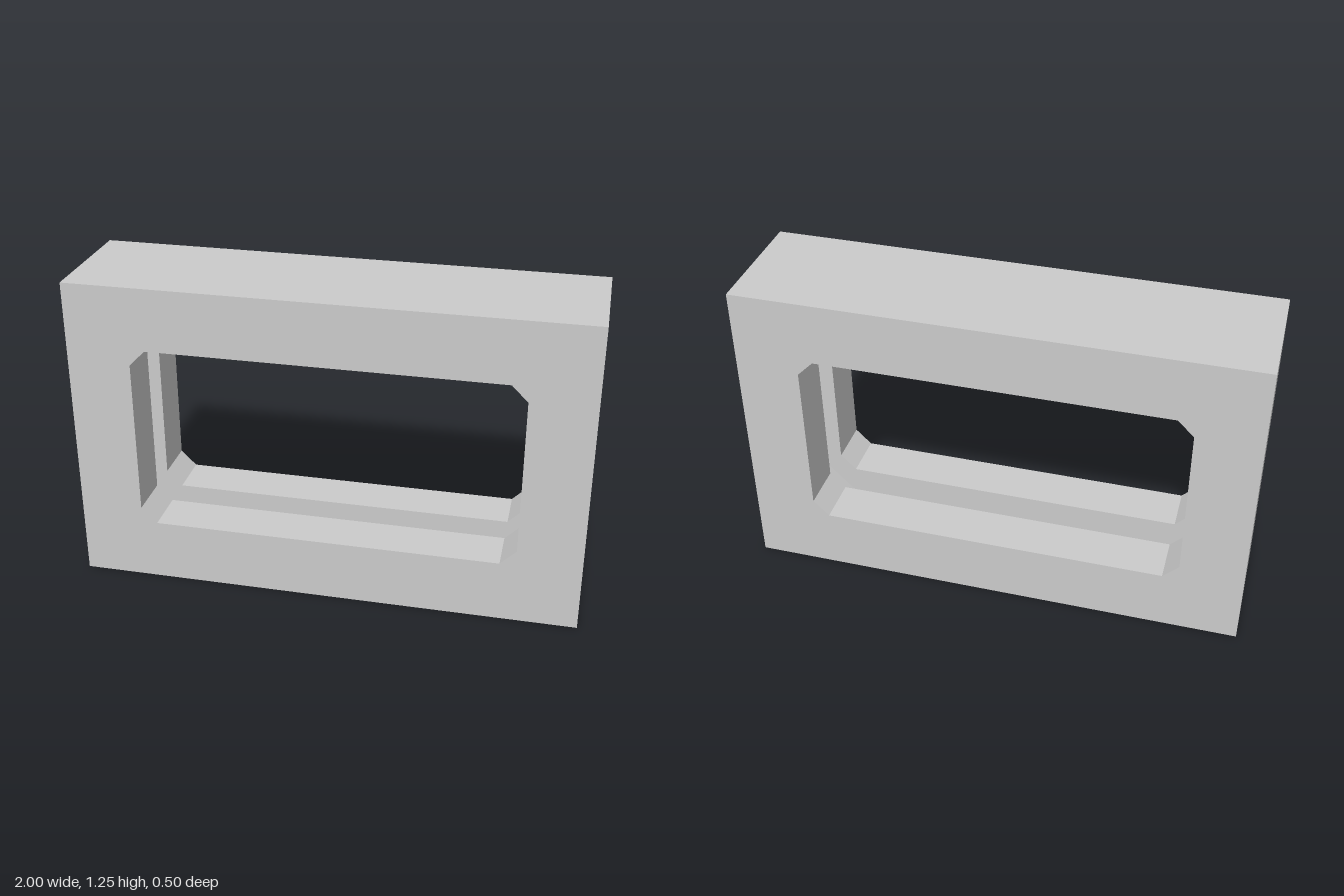
import * as THREE from 'three';
import { mergeGeometries } from 'three/addons/utils/BufferGeometryUtils.js';

const CY = 0.625, HALF_DEPTH = 0.25, GROOVE = 0.0625;

// Counter-clockwise rectangle with corners cut by c
function cutRect(hw, hh, c) {
  const pts = [
    [hw, -hh + c], [hw, hh - c], [hw - c, hh], [-hw + c, hh],
    [-hw, hh - c], [-hw, -hh + c], [-hw + c, -hh], [hw - c, -hh],
  ];
  return pts.map(([x, y]) => new THREE.Vector2(x, y + CY));
}

// Skin a series of [loop, z] sections; front-to-back order faces inward
function loft(sections) {
  const pos = [];
  for (let s = 0; s < sections.length - 1; s++) {
    const [A, za] = sections[s], [B, zb] = sections[s + 1];
    for (let i = 0; i < A.length; i++) {
      const j = (i + 1) % A.length;
      pos.push(A[i].x, A[i].y, za, A[j].x, A[j].y, za, B[j].x, B[j].y, zb);
      pos.push(A[i].x, A[i].y, za, B[j].x, B[j].y, zb, B[i].x, B[i].y, zb);
    }
  }
  const g = new THREE.BufferGeometry();
  g.setAttribute('position', new THREE.Float32BufferAttribute(pos, 3));
  g.computeVertexNormals();
  return g;
}

export function createModel() {
  const group = new THREE.Group();
  group.name = 'windowFrame';
  const material = new THREE.MeshStandardMaterial({ color: 0xcccccc, flatShading: true });
  const add = (name, geometry) => {
    const mesh = new THREE.Mesh(geometry, material);
    mesh.name = name;
    group.add(mesh);
  };

  const outer = [[1, 0], [1, 1.25], [-1, 1.25], [-1, 0]].map(([x, y]) => new THREE.Vector2(x, y));
  const opening = cutRect(0.75, 0.375, 0.0625);
  const grooveBed = cutRect(0.875, 0.5, 0.1875);

  // Outer block: four sides plus front and back faces with the opening
  const shape = new THREE.Shape(outer);
  shape.holes.push(new THREE.Path(opening));
  const faces = [0, Math.PI].map((turn) => {
    const g = new THREE.ShapeGeometry(shape).toNonIndexed();
    g.deleteAttribute('uv');
    return g.translate(0, 0, HALF_DEPTH).rotateY(turn);
  });
  add('outerFrame', mergeGeometries([loft([[outer, -HALF_DEPTH], [outer, HALF_DEPTH]]), ...faces]));

  // Lining of the opening with the pane groove running round its middle
  add('grooveLining', loft([
    [opening, HALF_DEPTH], [opening, GROOVE], [grooveBed, GROOVE],
    [grooveBed, -GROOVE], [opening, -GROOVE], [opening, -HALF_DEPTH],
  ]));

  return group;
}
